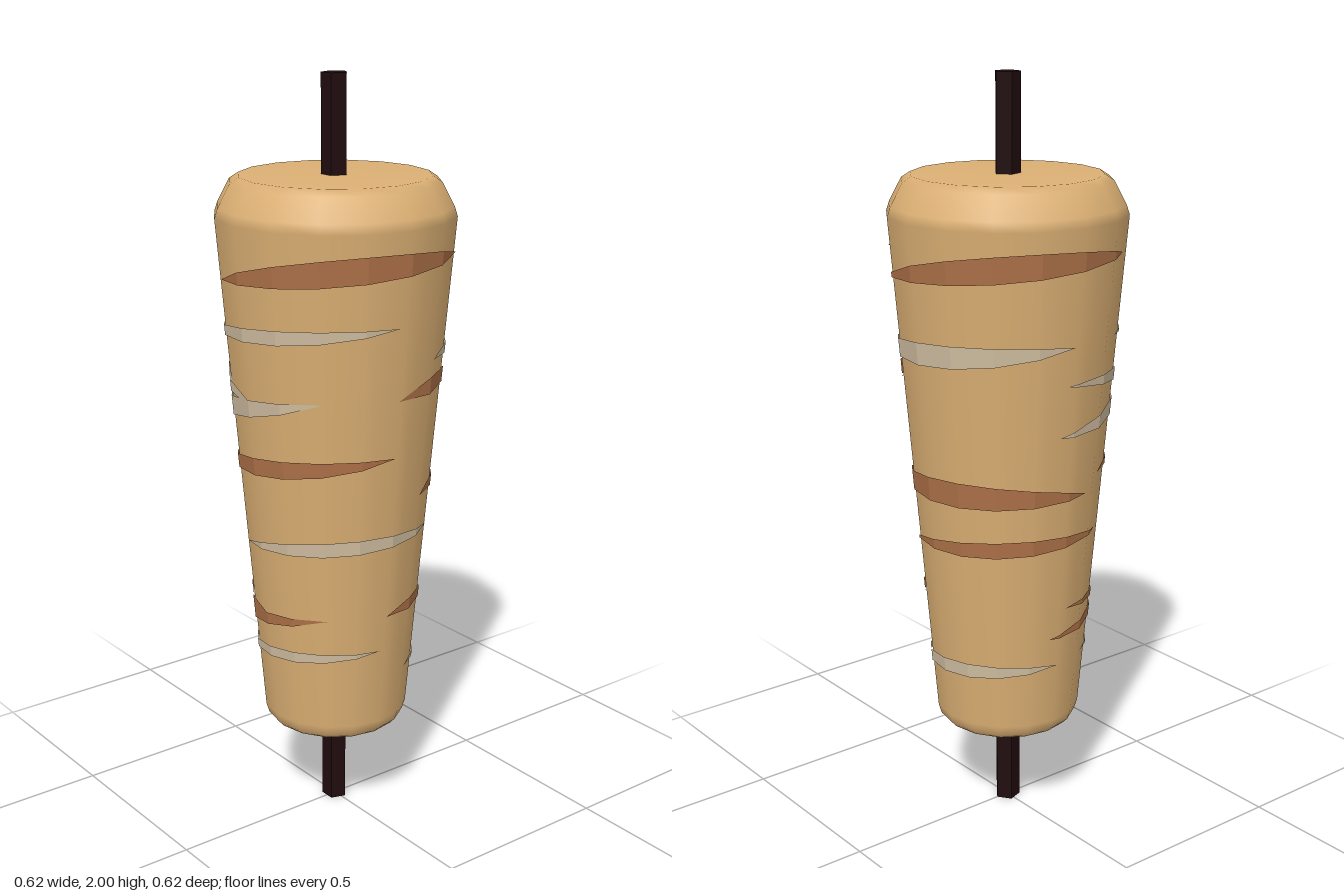
import * as THREE from 'three';

const SIDES = 16;
const STEP = (Math.PI * 2) / SIDES;

export function createModel() {
  const model = new THREE.Group();
  model.name = 'meatSpit';
  const material = (name, color, extra = {}) => {
    const m = new THREE.MeshStandardMaterial({ color, ...extra });
    m.name = name;
    return m;
  };
  const meat = material('roast meat', 0xdcb074);
  const brown = material('browned meat', 0xaf7249, { flatShading: true, side: THREE.DoubleSide });
  const pale = material('pale fat', 0xd2bfa2, { flatShading: true, side: THREE.DoubleSide });
  const iron = material('dark iron', 0x200c0e, { flatShading: true });

  const add = (name, geometry, mat) => {
    const mesh = new THREE.Mesh(geometry, mat);
    mesh.name = name;
    model.add(mesh);
  };

  // Five-sided skewer through the whole height
  const skewer = new THREE.CylinderGeometry(0.035, 0.035, 2, 5);
  skewer.rotateY(Math.PI);
  skewer.translate(0, 1, 0);
  add('skewer', skewer, iron);

  // Tapered cone of meat with rounded shoulders
  const profile = [
    [0, 0.265], [0.175, 0.265], [0.187, 0.278], [0.195, 0.305],
    [0.31, 1.65], [0.302, 1.675], [0.27, 1.735], [0.247, 1.75], [0, 1.75],
  ].map(([r, y]) => new THREE.Vector2(r, y));
  add('meatCone', new THREE.LatheGeometry(profile, SIDES), meat);

  // A point just outside the faceted cone, angle measured from the front towards +x
  const onCone = (a, y) => {
    const offset = a - (Math.floor(a / STEP) + 0.5) * STEP;
    const corner = 0.195 + ((y - 0.305) * 0.115) / 1.345 + 0.004;
    const r = (corner * Math.cos(STEP / 2)) / Math.cos(offset);
    return [r * Math.sin(a), y, r * Math.cos(a)];
  };

  // A pointed strip wrapped on the cone: start and end in degrees, start, middle and end height
  const strip = (name, mat, from, to, y0, y1, y2, half) => {
    const a0 = THREE.MathUtils.degToRad(from);
    const a1 = THREE.MathUtils.degToRad(to);
    const angles = [a0];
    for (let k = Math.ceil(a0 / STEP + 0.15); k * STEP < a1 - 0.05; k++) angles.push(k * STEP);
    angles.push(a1);
    const positions = [];
    const index = [];
    angles.forEach((a, i) => {
      const t = (a - a0) / (a1 - a0);
      const y = (1 - t) * (1 - 2 * t) * y0 + 4 * t * (1 - t) * y1 + t * (2 * t - 1) * y2;
      const h = half * Math.pow(Math.max(0, Math.sin(Math.PI * t)), 0.8);
      positions.push(...onCone(a, y - h), ...onCone(a, y + h));
      if (i > 0) {
        const p = 2 * i - 2;
        index.push(p, p + 2, p + 3, p, p + 3, p + 1);
      }
    });
    const g = new THREE.BufferGeometry();
    g.setAttribute('position', new THREE.Float32BufferAttribute(positions, 3));
    g.setIndex(index);
    g.computeVertexNormals();
    add(name, g, mat);
  };

  // Browned and pale slices, from top to bottom
  [
    [brown, -20, 135, 1.5, 1.56, 1.56, 0.034],
    [brown, 151, 305, 1.5, 1.56, 1.565, 0.034],
    [pale, -55, 86, 1.35, 1.385, 1.41, 0.019],
    [pale, 114, 268, 1.305, 1.33, 1.355, 0.03],
    [pale, -95, 15, 1.255, 1.235, 1.18, 0.017],
    [pale, -98, 46, 1.12, 1.165, 1.225, 0.026],
    [brown, 88, 154, 1.22, 1.24, 1.235, 0.024],
    [brown, -63, 88, 0.992, 1.035, 1.068, 0.024],
    [brown, 112, 285, 0.94, 0.968, 0.95, 0.034],
    [brown, 152, 304, 0.8, 0.825, 0.83, 0.022],
    [pale, -20, 134, 0.795, 0.832, 0.832, 0.02],
    [brown, -85, 15, 0.635, 0.625, 0.595, 0.012],
    [brown, -98, 47, 0.555, 0.585, 0.625, 0.019],
    [brown, 89, 156, 0.62, 0.633, 0.622, 0.018],
    [pale, -60, 86, 0.475, 0.505, 0.522, 0.015],
    [pale, 114, 270, 0.44, 0.465, 0.475, 0.02],
  ].forEach(([mat, ...rest], i) => strip(`${mat === brown ? 'brownedSlice' : 'fatSlice'}${i + 1}`, mat, ...rest));

  return model;
}
